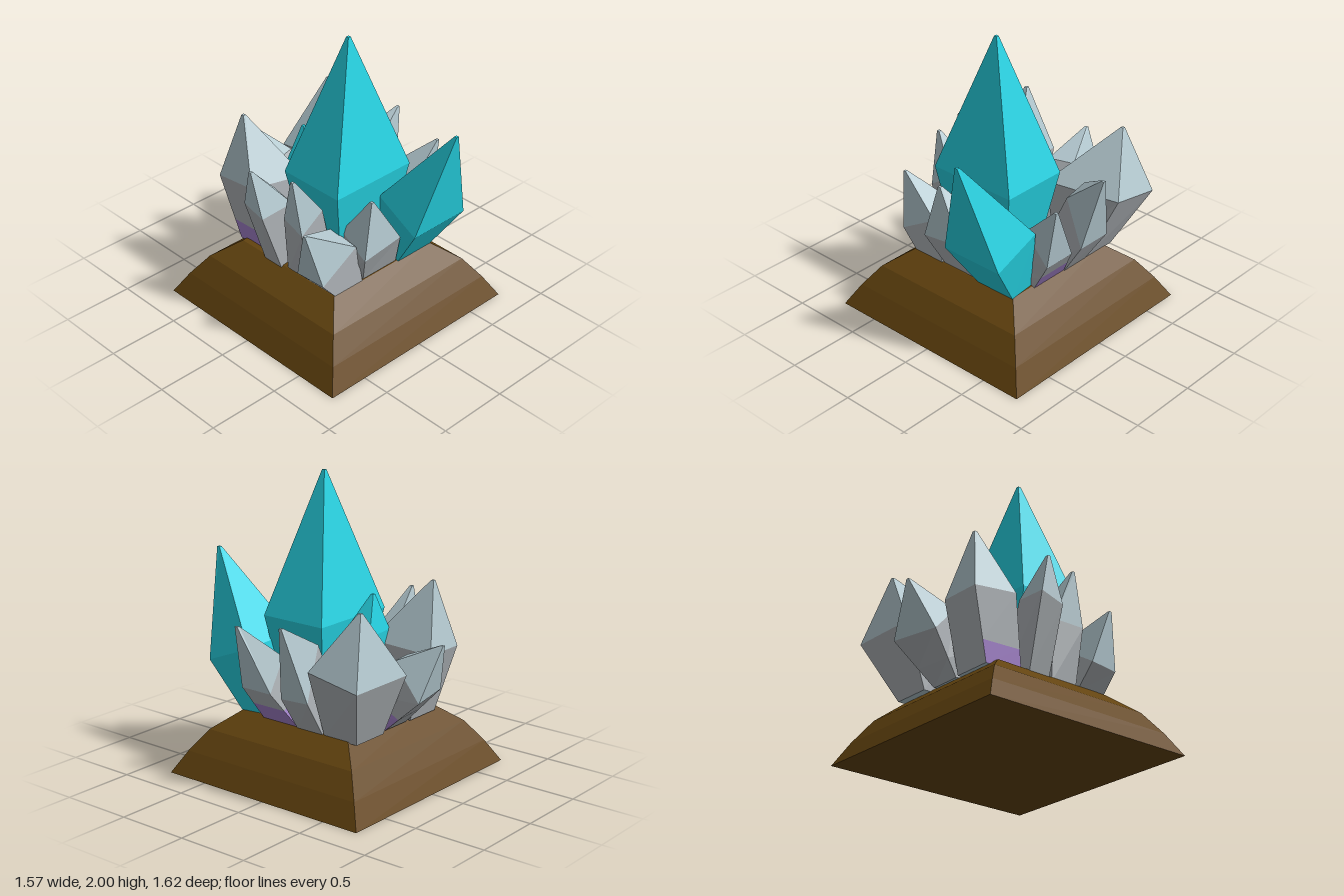
import * as THREE from 'three';

const mat = (name, color) => {
  const m = new THREE.MeshStandardMaterial({ color });
  m.name = name;
  return m;
};

// Four-sided faceted solid. Each ring lists its corners: back left, front left, front right, back right
// (left and right here mean -x and +x). faceGroup(level, side) picks the material index.
function loft(rings, faceGroup = () => 0) {
  const pos = [];
  const geo = new THREE.BufferGeometry();
  const quad = (a, b, c, d, m) => {
    geo.addGroup(pos.length / 3, 6, m);
    for (const p of [a, b, c, a, c, d]) pos.push(...p);
  };
  for (let k = 0; k < rings.length - 1; k++) {
    for (let i = 0; i < 4; i++) {
      const j = (i + 1) % 4;
      quad(rings[k][i], rings[k][j], rings[k + 1][j], rings[k + 1][i], faceGroup(k, i));
    }
  }
  const top = rings[rings.length - 1], low = rings[0];
  quad(...top, faceGroup(rings.length - 2, 4));
  quad(low[3], low[2], low[1], low[0], 0);
  geo.setAttribute('position', new THREE.Float32BufferAttribute(pos, 3));
  geo.computeVertexNormals();
  return geo;
}

// Level rectangle
const rect = (x0, x1, z0, z1, y) => [[x0, y, z0], [x0, y, z1], [x1, y, z1], [x1, y, z0]];

const lerp = (a, b, t) => a.map((v, i) => v + (b[i] - v) * t);

export function createModel() {
  const model = new THREE.Group();
  const soil = mat('soil brown', 0x64440f);
  const cyan = mat('crystal cyan', 0x26d2e2);
  const pale = mat('pale blue grey', 0xb4c9d0);
  const stone = mat('stone grey', 0xb0b5b9);
  const violet = mat('violet stain', 0xa482cc);

  const add = (name, geo, materials) => {
    const mesh = new THREE.Mesh(geo, materials);
    mesh.name = name;
    model.add(mesh);
  };

  // Square mound with sides that steepen towards the ground
  const steps = [[0.785, 0], [0.7, 0.15], [0.6, 0.295], [0.44, 0.425], [0.2, 0.46]];
  add('mound', loft(steps.map(([r, y]) => rect(-r, r, 0.02 - r, 0.02 + r, y))), [soil]);

  // Crystal: foot, widest ring, then a tiny blunt tip.
  // stains maps a side (0 left, 1 front, 2 right, 3 back) to the stained share of its lower face.
  const crystal = (name, foot, ring, [x, y, z], mats, stains = {}) => {
    const tip = rect(x - 0.01, x + 0.01, z - 0.01, z + 0.01, y);
    const share = Math.max(0, ...Object.values(stains));
    const rings = [foot, ring, tip];
    if (share) rings.splice(1, 0, foot.map((p, i) => lerp(p, ring[i], share)));
    const last = rings.length - 2;
    add(name, loft(rings, (k, side) => {
      if (k === last) return 0;
      return share && k === 0 && side in stains ? 2 : 1;
    }), mats);
  };

  const blue = [cyan, cyan];
  const grey = [pale, stone, violet];

  // Cyan crystals
  crystal('mainCrystal', rect(-0.2, 0.2, -0.02, 0.28, 0.4),
    rect(-0.325, 0.325, -0.115, 0.37, 1.06), [0, 2, 0.13], blue);
  crystal('frontCrystal',
    [[0.16, 0.4, 0.26], [0.14, 0.41, 0.46], [0.44, 0.41, 0.46], [0.42, 0.4, 0.26]],
    [[0.08, 0.9, 0.34], [0.06, 0.745, 0.68], [0.52, 0.745, 0.68], [0.52, 0.88, 0.34]],
    [0.29, 1.45, 0.79], blue);
  crystal('backCrystal', rect(-0.11, 0.07, -0.26, -0.1, 0.4),
    [[-0.16, 0.98, -0.285], [-0.16, 0.98, -0.1], [0.12, 0.98, -0.12], [0.09, 0.98, -0.315]],
    [-0.04, 1.23, -0.24], blue);

  // Large grey crystals at the back
  crystal('backLeftStone', rect(0.18, 0.45, -0.5, -0.24, 0.4),
    [[0.16, 0.82, -0.665], [0.14, 0.89, -0.19], [0.67, 0.89, -0.29], [0.66, 0.82, -0.665]],
    [0.48, 1.27, -0.55], grey);
  crystal('backRightStone', rect(-0.4, -0.13, -0.48, -0.2, 0.4),
    [[-0.455, 0.86, -0.615], [-0.46, 0.9, -0.29], [-0.1, 0.9, -0.18], [-0.16, 0.86, -0.615]],
    [-0.32, 1.31, -0.51], grey, { 0: 0.3, 1: 0.3 });
  crystal('backMiddleStone',
    [[-0.1, 0.4, -0.47], [-0.1, 0.45, -0.24], [0.13, 0.45, -0.2], [0.12, 0.4, -0.47]],
    [[-0.17, 0.65, -0.69], [-0.09, 0.86, -0.48], [0.1, 0.87, -0.52], [0.16, 0.65, -0.76]],
    [-0.03, 0.995, -0.8], grey, { 2: 0.4 });

  // Grey crystals leaning out on the -x side
  crystal('rightRearStone', rect(-0.45, -0.2, -0.18, -0.02, 0.4),
    [[-0.6, 0.9, -0.2], [-0.6, 0.85, -0.03], [-0.36, 0.88, -0.01], [-0.36, 0.92, -0.18]],
    [-0.59, 1.155, -0.14], grey);
  crystal('rightMiddleStone', rect(-0.43, -0.2, 0.02, 0.22, 0.4),
    [[-0.46, 0.82, 0.02], [-0.5, 0.8, 0.23], [-0.32, 0.92, 0.23], [-0.32, 0.92, 0.02]],
    [-0.5, 1.17, 0.15], grey);
  crystal('rightFrontStone', rect(-0.41, -0.18, 0.25, 0.46, 0.4),
    [[-0.56, 0.56, 0.25], [-0.54, 0.55, 0.465], [-0.25, 0.72, 0.465], [-0.25, 0.75, 0.24]],
    [-0.6, 0.92, 0.37], grey);

  // Grey crystal at the front
  crystal('frontStone', rect(-0.17, 0.13, 0.28, 0.45, 0.42),
    [[-0.22, 0.75, 0.3], [-0.255, 0.65, 0.55], [0.065, 0.69, 0.55], [0.06, 0.76, 0.3]],
    [-0.15, 1.03, 0.5], grey);

  // Grey crystals leaning out on the +x side
  crystal('leftRearStone', rect(0.2, 0.45, -0.23, -0.02, 0.4),
    [[0.46, 1.0, -0.2], [0.44, 0.94, -0.05], [0.6, 0.64, -0.01], [0.62, 0.66, -0.245]],
    [0.695, 1.14, -0.1], grey);
  crystal('leftFrontStone', rect(0.22, 0.45, -0.02, 0.27, 0.41),
    [[0.47, 0.87, 0.08], [0.42, 0.85, 0.32], [0.6, 0.65, 0.32], [0.6, 0.65, 0.08]],
    [0.655, 1.07, 0.305], grey, { 2: 0.5, 3: 0.5 });

  return model;
}
